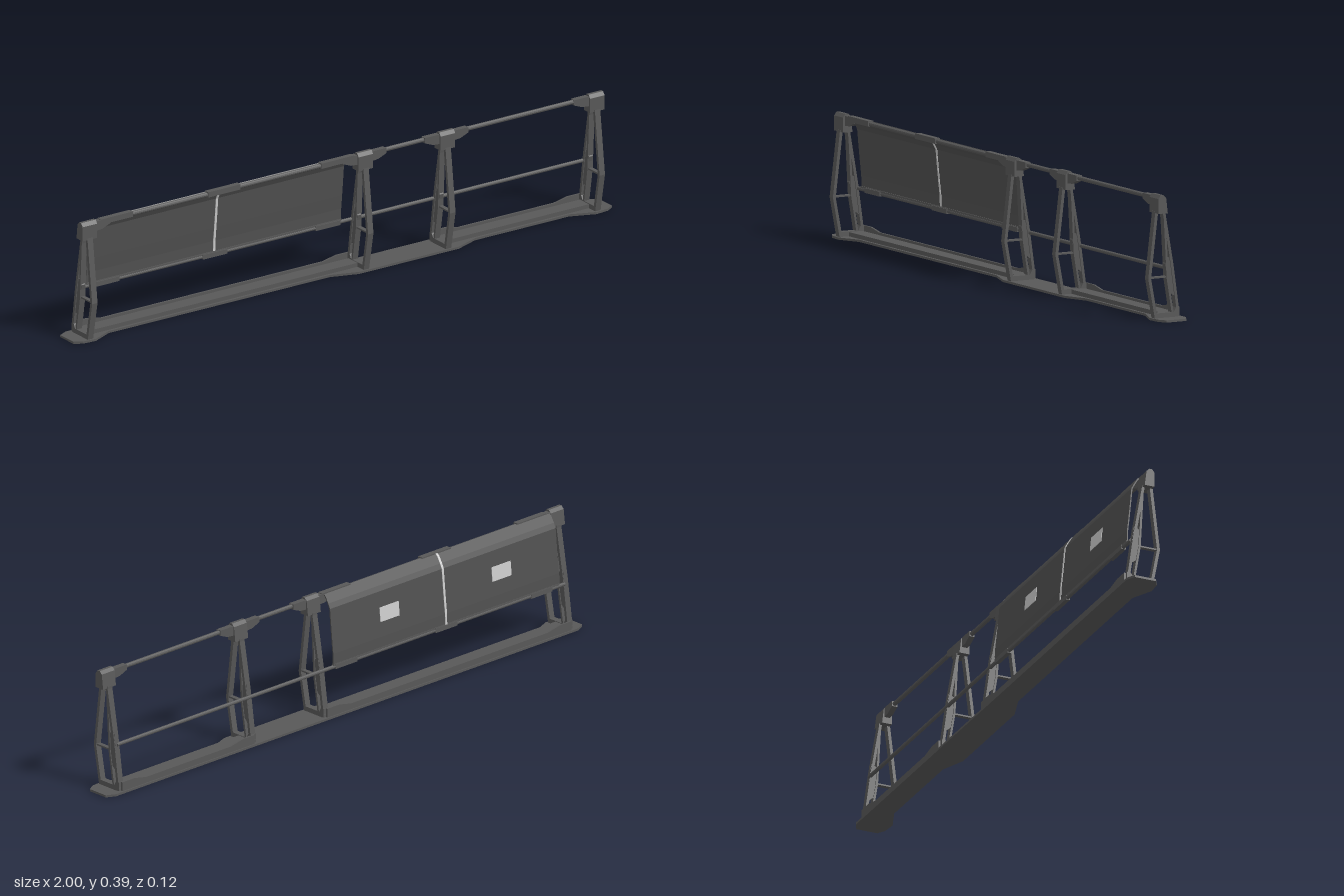
import * as THREE from 'three';

const dark = new THREE.MeshStandardMaterial({ color: 0x585858, flatShading: true });
const panelMat = new THREE.MeshStandardMaterial({ color: 0x505050, flatShading: true });
const light = new THREE.MeshStandardMaterial({ color: 0xcccccc, flatShading: true });

function add(parent, name, geometry, material = dark) {
  const mesh = new THREE.Mesh(geometry, material);
  mesh.name = name;
  parent.add(mesh);
  return mesh;
}

// Extrude a [z, y] outline along x from x0 to x1
function profile(points, x0, x1) {
  const shape = new THREE.Shape(points.map(([z, y]) => new THREE.Vector2(-z, y)));
  const g = new THREE.ExtrudeGeometry(shape, { depth: x1 - x0, bevelEnabled: false });
  return g.rotateY(Math.PI / 2).translate(x0, 0, 0);
}

// Band of constant thickness following a [z, y] path
function band(path, thickness) {
  const a = [], b = [];
  path.forEach((p, i) => {
    const q = path[Math.max(i - 1, 0)], r = path[Math.min(i + 1, path.length - 1)];
    const d = new THREE.Vector2(r[0] - q[0], r[1] - q[1]).normalize().multiplyScalar(thickness / 2);
    a.push([p[0] - d.y, p[1] + d.x]);
    b.unshift([p[0] + d.y, p[1] - d.x]);
  });
  return a.concat(b);
}

// Extrude an [x, z] outline upwards
function plan(points, y0, y1) {
  const shape = new THREE.Shape(points.map(([x, z]) => new THREE.Vector2(x, -z)));
  const g = new THREE.ExtrudeGeometry(shape, { depth: y1 - y0, bevelEnabled: false });
  return g.rotateX(-Math.PI / 2).translate(0, y0, 0);
}

// Extrude an [x, y] outline along z
function elevation(points, z0, z1) {
  const shape = new THREE.Shape(points.map(([x, y]) => new THREE.Vector2(x, y)));
  return new THREE.ExtrudeGeometry(shape, { depth: z1 - z0, bevelEnabled: false }).translate(0, 0, z0);
}

function box(x0, x1, y0, y1, z0, z1) {
  return new THREE.BoxGeometry(x1 - x0, y1 - y0, z1 - z0)
    .translate((x0 + x1) / 2, (y0 + y1) / 2, (z0 + z1) / 2);
}

function rail(x0, x1, y, z, radius) {
  return new THREE.CylinderGeometry(radius, radius, x1 - x0, 10)
    .rotateZ(Math.PI / 2).translate((x0 + x1) / 2, y, z);
}

// One upright: bent front leg, sloping rear leg, braces and cap
function createUpright(x) {
  const g = new THREE.Group();
  g.name = 'upright';
  g.position.x = x;
  const w = 0.01;
  add(g, 'frontLeg', profile(band([[0.03, 0.335], [0.055, 0.13], [0.032, 0.008]], 0.01), -w, w));
  add(g, 'rearLeg', profile(band([[0.005, 0.335], [-0.024, 0.17], [-0.046, 0.015]], 0.009), -w, w));
  add(g, 'innerRearLeg', profile(band([[0.003, 0.335], [-0.008, 0.13], [-0.026, 0.02]], 0.007), -w, w));
  add(g, 'gusset', profile([[0, 0.172], [-0.009, 0.187], [-0.026, 0.195], [-0.042, 0.072],
    [-0.03, 0.073], [-0.017, 0.084]], -0.007, 0.007));
  add(g, 'brace', box(-0.007, 0.007, 0.129, 0.134, -0.008, 0.055));
  add(g, 'footBar', box(-w, w, 0.006, 0.022, -0.045, 0.036));
  add(g, 'footGusset', profile([[-0.024, 0.012], [-0.038, 0.036], [-0.05, 0.036], [-0.05, 0.008]], -w, w));
  add(g, 'cap', profile([[0.034, 0.33], [0.034, 0.376], [0.026, 0.387], [0.016, 0.387],
    [0.007, 0.378], [0.001, 0.33]], -0.027, 0.027));
  return g;
}

export function createModel() {
  const model = new THREE.Group();
  model.name = 'barrier';
  const uprights = [-0.945, 0.08, 0.385, 0.94];

  // Base plate, widened under the uprights
  add(model, 'basePlate', plan([[-0.97, -0.06], [0.97, -0.06], [1, -0.045], [1, 0.025], [0.975, 0.04],
    [0.93, 0.044], [0.85, 0.012], [0.5, 0.012], [0.42, 0.042], [0.05, 0.042], [-0.04, 0.012],
    [-0.86, 0.012], [-0.93, 0.044], [-0.975, 0.04], [-1, 0.025], [-1, -0.045]], 0, 0.007));

  // Raised curbs along the two long bays
  [[-0.945, 0.08], [0.385, 0.94]].forEach(([a, b]) => {
    const outline = [[a, 0.006], [b, 0.006], [b, 0.036], [b - 0.05, 0.036], [b - 0.1, 0.026],
      [a + 0.1, 0.026], [a + 0.05, 0.036], [a, 0.036]];
    add(model, 'rearCurb', elevation(outline, -0.056, -0.05));
    add(model, 'baseBeam', box(a, b, 0.006, 0.02, -0.044, 0.004));
  });

  uprights.forEach((x) => model.add(createUpright(x)));

  // Long rails
  add(model, 'topRail', rail(-0.94, 0.94, 0.373, 0.018, 0.007));
  add(model, 'middleRail', rail(-0.94, 0.94, 0.152, -0.03, 0.006));

  // Tapered sockets where the top rail meets the caps
  const socket = (x, dir) => {
    const pts = [[0, 0.35], [0.025, 0.352], [0.055, 0.364], [0.055, 0.381], [0, 0.381]]
      .map(([dx, y]) => [x + dir * (0.026 + dx), y]);
    add(model, 'railSocket', elevation(pts, 0.009, 0.027));
  };
  uprights.forEach((x, i) => {
    if (i > 0) socket(x, -1);
    if (i < 3) socket(x, 1);
  });

  // Curved infill panel hanging from the top rail in the long bay
  const curve = [[0.012, 0.379], [0.004, 0.373], [-0.008, 0.353], [-0.0155, 0.338],
    [-0.02, 0.29], [-0.025, 0.24], [-0.03, 0.195], [-0.031, 0.152]];
  add(model, 'leftPanel', profile(band(curve, 0.004), -0.438, 0.032), panelMat);
  add(model, 'rightPanel', profile(band(curve, 0.004), -0.915, -0.442), panelMat);
  add(model, 'panelSeam', profile(band(curve, 0.007), -0.444, -0.436), light);
  add(model, 'panelBottomEdge', box(-0.915, 0.032, 0.152, 0.162, -0.034, -0.026));

  // Clips holding the panel to both rails
  [-0.84, -0.44, -0.02].forEach((x) => {
    add(model, 'topClip', box(x - 0.06, x + 0.06, 0.366, 0.383, 0.009, 0.027));
    add(model, 'bottomClip', box(x - 0.045, x + 0.045, 0.145, 0.16, -0.036, -0.022));
  });

  // Pale plates on the back of the panel
  [-0.21, -0.68].forEach((x) => {
    const plate = add(model, 'backPlate', new THREE.BoxGeometry(0.08, 0.046, 0.002), light);
    plate.position.set(x, 0.265, -0.0252);
    plate.rotation.x = 0.1;
  });

  return model;
}
